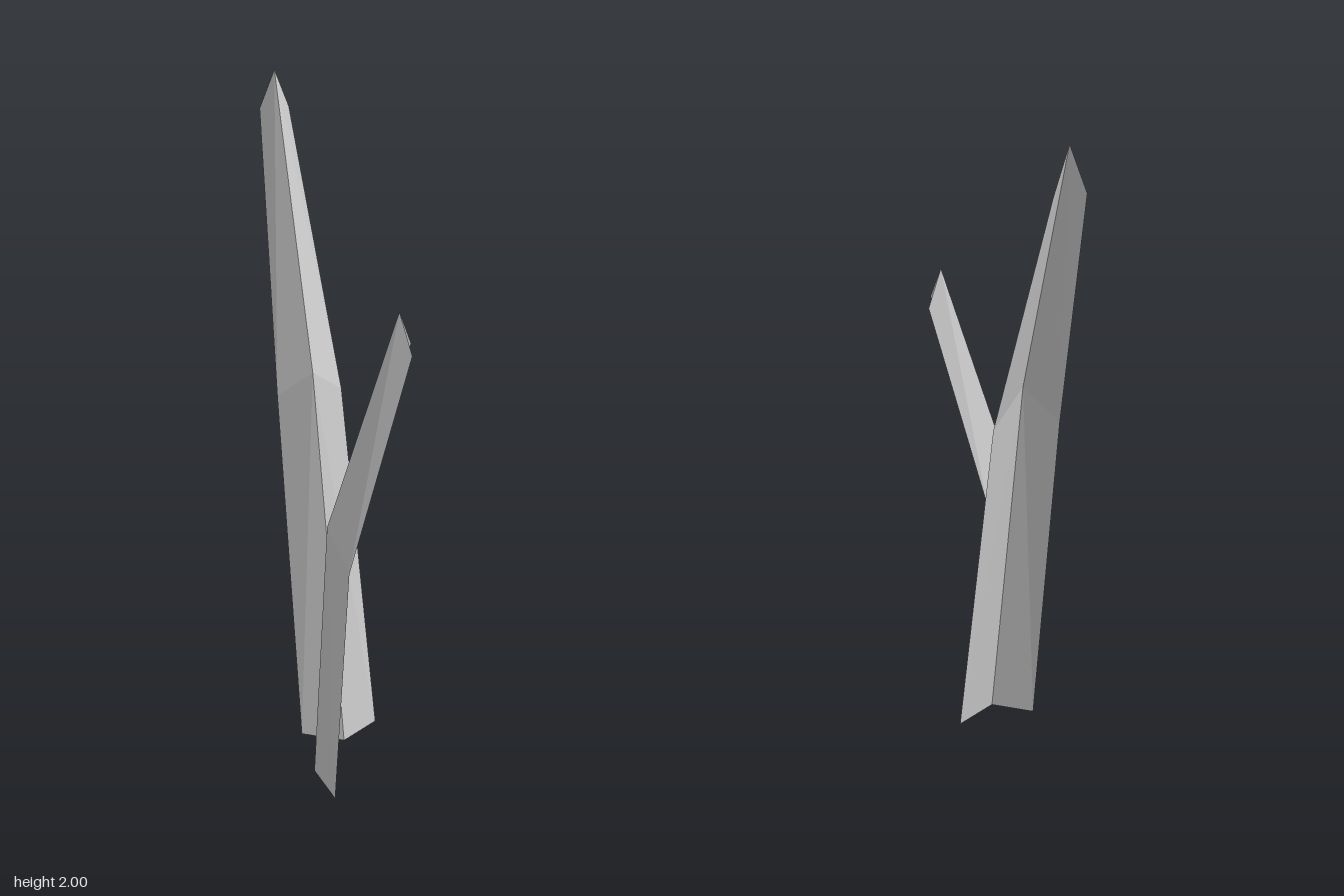
import * as THREE from 'three';

const grey = new THREE.MeshStandardMaterial({ color: 0xcccccc, side: THREE.DoubleSide, flatShading: true });
grey.name = 'plain grey';

// A creased leaf: each row is [outer edge, ridge, outer edge], listed from the ground up.
function foldedBlade(name, rows) {
  const positions = [];
  for (let i = 0; i < rows.length - 1; i++) {
    for (let j = 0; j < 2; j++) {
      const a = rows[i][j], b = rows[i][j + 1];
      const d = rows[i + 1][j], c = rows[i + 1][j + 1];
      // diagonals run from the upper ridge point to the lower outer edge
      const corners = j === 0 ? [a, b, c, a, c, d] : [a, b, d, b, c, d];
      corners.forEach((p) => positions.push(...p));
    }
  }
  const geometry = new THREE.BufferGeometry();
  geometry.setAttribute('position', new THREE.Float32BufferAttribute(positions, 3));
  geometry.computeVertexNormals();
  const mesh = new THREE.Mesh(geometry, grey);
  mesh.name = name;
  return mesh;
}

export function createModel() {
  const group = new THREE.Group();
  group.name = 'grassBlades';

  // tall blade, bending backwards
  group.add(foldedBlade('tallBlade', [
    [[-0.101, 0, 0.035], [0.032, 0, 0.065], [0.131, 0, -0.028]],
    [[-0.16, 1.14, -0.068], [-0.059, 1.23, -0.034], [0.02, 1.14, -0.116]],
    [[-0.203, 1.89, -0.303], [-0.16, 2, -0.281], [-0.125, 1.89, -0.324]],
  ]));

  // short blade, bending to its left
  group.add(foldedBlade('shortBlade', [
    [[0.006, 0, 0.083], [-0.058, 0, 0.203], [0.006, 0, 0.323]],
    [[0.041, 0.76, 0.075], [-0.018, 0.85, 0.164], [0.044, 0.76, 0.26]],
    [[0.202, 1.39, 0.117], [0.168, 1.495, 0.151], [0.202, 1.39, 0.195]],
  ]));

  return group;
}
